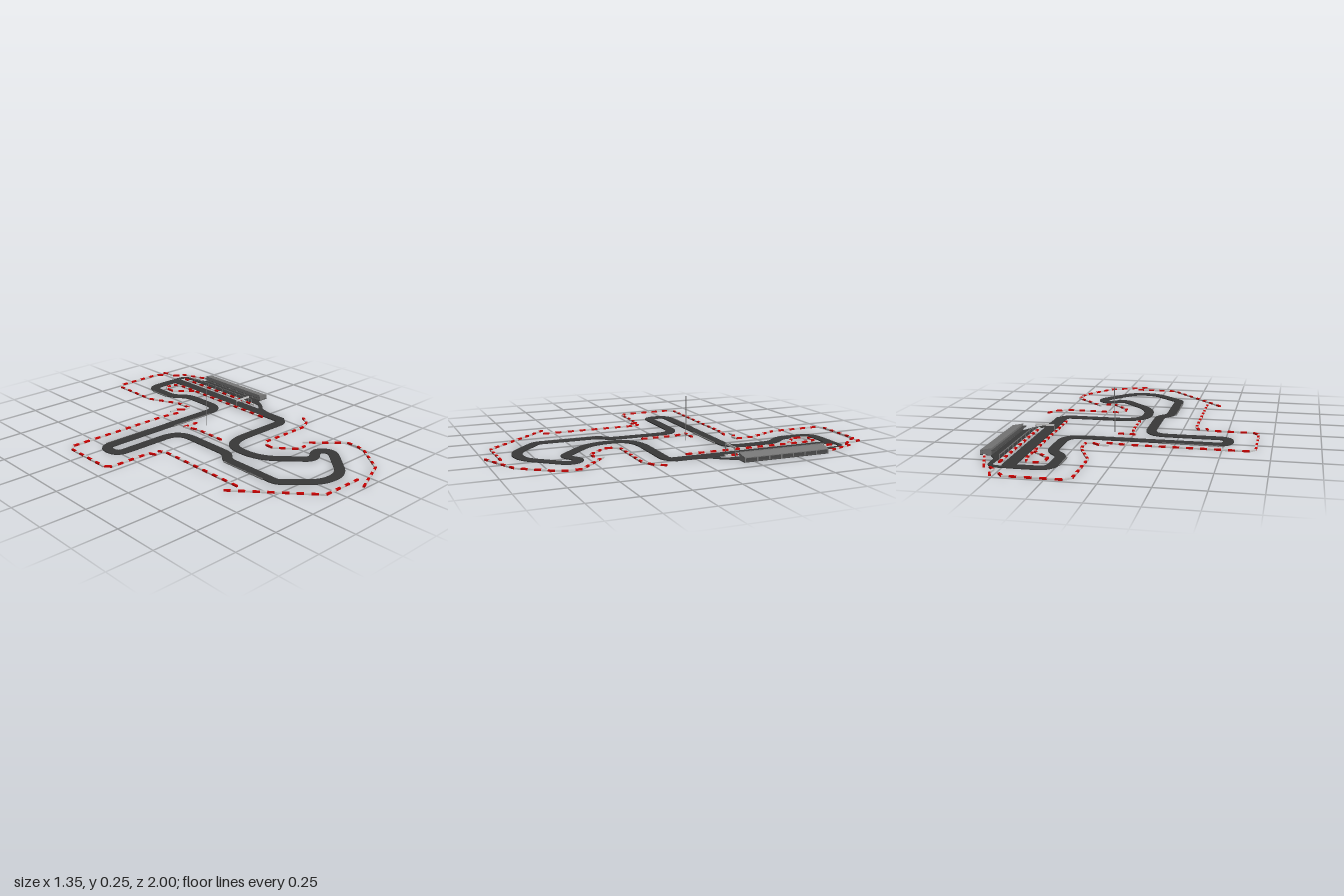
import * as THREE from 'three';
import { mergeGeometries } from 'three/addons/utils/BufferGeometryUtils.js';

const material = (color) => new THREE.MeshStandardMaterial({ color, flatShading: true, side: THREE.DoubleSide });
const ASPHALT = material(0x383838), STEEL = material(0x777777), DARK = material(0x484848);
const RED = material(0xcc0000), PALE = material(0xcccccc);

// Rounds the corners of a path; each point is [x, z, radius]
function roundPath(pts, closed) {
  const out = [], n = pts.length;
  pts.forEach(([x, z, r = 0], i) => {
    const p = new THREE.Vector2(x, z);
    if (!r || (!closed && (i === 0 || i === n - 1))) { out.push(p); return; }
    const ends = [pts[(i + n - 1) % n], pts[(i + 1) % n]].map(([a, b]) => {
      const d = new THREE.Vector2(a, b).sub(p);
      return p.clone().addScaledVector(d.clone().normalize(), Math.min(r, d.length() * 0.49));
    });
    out.push(...new THREE.QuadraticBezierCurve(ends[0], p, ends[1]).getPoints(8));
  });
  return out;
}

// A flat road slab that follows a path
function road(name, pts, width, height, closed) {
  const path = roundPath(pts, closed), n = path.length, pos = [], index = [];
  path.forEach((p, i) => {
    const prev = closed ? path[(i + n - 1) % n] : path[Math.max(i - 1, 0)];
    const next = closed ? path[(i + 1) % n] : path[Math.min(i + 1, n - 1)];
    const a = p.clone().sub(prev).normalize(), b = next.clone().sub(p).normalize();
    const t = a.clone().add(b).normalize();
    const miter = width / 2 / Math.max(0.75, Math.abs(t.dot(a.lengthSq() ? a : b)));
    const nx = -t.y * miter, nz = t.x * miter;
    pos.push(p.x + nx, height, p.y + nz, p.x - nx, height, p.y - nz, p.x - nx, 0, p.y - nz, p.x + nx, 0, p.y + nz);
  });
  for (let i = 0; i < (closed ? n : n - 1); i++) {
    const j = (i + 1) % n;
    for (let k = 0; k < 4; k++) {
      const l = (k + 1) % 4;
      index.push(i * 4 + k, i * 4 + l, j * 4 + k, i * 4 + l, j * 4 + l, j * 4 + k);
    }
  }
  const geo = new THREE.BufferGeometry();
  geo.setAttribute('position', new THREE.Float32BufferAttribute(pos, 3));
  geo.setIndex(index);
  const flat = geo.toNonIndexed();
  flat.computeVertexNormals();
  const mesh = new THREE.Mesh(flat, ASPHALT);
  mesh.name = name;
  return mesh;
}

function box(name, w, h, d, x, y, z, mat = STEEL) {
  const mesh = new THREE.Mesh(new THREE.BoxGeometry(w, h, d), mat);
  mesh.position.set(x, y, z);
  mesh.name = name;
  return mesh;
}

// A low wall cut into alternating red and pale blocks
function barrier(name, pts) {
  const blocks = [[], []];
  let count = 0;
  for (let i = 0; i < pts.length - 1; i++) {
    const [ax, az] = pts[i], [bx, bz] = pts[i + 1];
    const len = Math.hypot(bx - ax, bz - az), parts = Math.max(1, Math.round(len / 0.035));
    for (let k = 0; k < parts; k++) {
      const f = (k + 0.5) / parts;
      const g = new THREE.BoxGeometry(len / parts, 0.009, 0.012);
      g.rotateY(-Math.atan2(bz - az, bx - ax));
      g.translate(ax + (bx - ax) * f, 0.0085, az + (bz - az) * f);
      blocks[count++ % 2].push(g);
    }
  }
  const group = new THREE.Group();
  group.name = name;
  blocks.forEach((list, i) => {
    const mesh = new THREE.Mesh(mergeGeometries(list), i ? PALE : RED);
    mesh.name = i ? 'paleBlocks' : 'redBlocks';
    group.add(mesh);
  });
  return group;
}

// Row of open garages under a sloping roof
function pitBuilding() {
  const g = new THREE.Group();
  g.name = 'pitBuilding';
  const z0 = -0.68, z1 = -0.188, len = z1 - z0, mid = (z0 + z1) / 2, bays = 7;
  const slab = (name, pts, depth, z, mat) => {
    const shape = new THREE.Shape(pts.map(([x, y]) => new THREE.Vector2(x, y)));
    const mesh = new THREE.Mesh(new THREE.ExtrudeGeometry(shape, { depth, bevelEnabled: false }), mat);
    mesh.position.z = z;
    mesh.name = name;
    g.add(mesh);
  };
  slab('roof', [[0.615, 0.036], [0.676, 0.024], [0.676, 0.028], [0.615, 0.04]], len, z0, STEEL);
  slab('backWall', [[0.66, 0.004], [0.664, 0.004], [0.664, 0.028], [0.66, 0.028]], len, z0, DARK);
  slab('floor', [[0.615, 0.002], [0.676, 0.002], [0.676, 0.006], [0.615, 0.006]], len, z0, DARK);
  for (let i = 0; i <= bays; i++) {
    slab('garageDivider', [[0.618, 0.004], [0.676, 0.004], [0.676, 0.026], [0.618, 0.038]],
      0.007, z0 + (len - 0.007) * i / bays, STEEL);
  }
  g.add(box('frontLintel', 0.004, 0.008, len, 0.618, 0.033, mid));
  g.add(box('awning', 0.022, 0.002, len, 0.607, 0.027, mid, DARK));
  return g;
}

// Posts and a top rail between the pit lane and the straight
function pitFence() {
  const g = new THREE.Group();
  g.name = 'pitFence';
  const z0 = -0.73, z1 = -0.2, posts = 9;
  for (let i = 0; i < posts; i++) {
    g.add(box('fencePost', 0.003, 0.026, 0.003, 0.556, 0.013, z0 + (z1 - z0) * i / (posts - 1)));
  }
  g.add(box('fenceRail', 0.003, 0.004, z1 - z0, 0.556, 0.025, (z0 + z1) / 2));
  return g;
}

export function createModel() {
  const model = new THREE.Group();
  model.name = 'raceCircuit';

  // Main circuit
  model.add(road('track', [
    [0.48, -0.34], [0.48, -0.83, 0.04], [0.27, -0.83, 0.07], [0.27, -0.62, 0.05], [0.345, -0.55, 0.06],
    [0.345, -0.27, 0.09], [-0.52, -0.27, 0.06], [-0.52, -0.15, 0.06], [-0.08, -0.15, 0.11],
    [-0.08, 0.25, 0.04], [-0.135, 0.30, 0.04], [-0.135, 0.66, 0.03], [0.04, 0.82, 0.07],
    [0.18, 0.82, 0.07], [0.36, 0.61, 0.06], [0.30, 0.54, 0.07], [0.21, 0.61, 0.05],
    [0, 0.40, 0.11], [0, 0.143, 0.17], [0.48, 0.143, 0.06],
  ], 0.056, 0.005, true));
  model.add(road('startStraight', [[0.48, -0.82], [0.48, 0.115]], 0.065, 0.0054, false));

  // Pit lane and its wide apron
  model.add(road('pitLane', [[0.44, -0.845], [0.575, -0.845, 0.05], [0.575, -0.14, 0.04],
    [0.52, -0.09, 0.04], [0.495, 0.02]], 0.024, 0.0046, false));
  const apron = new THREE.Shape([[0.56, 0.74], [0.578, 0.74], [0.615, 0.69], [0.615, 0.2], [0.575, 0.13], [0.56, 0.13]]
    .map(([x, y]) => new THREE.Vector2(x, y)));
  const apronMesh = new THREE.Mesh(new THREE.ExtrudeGeometry(apron, { depth: 0.005, bevelEnabled: false }), ASPHALT);
  apronMesh.rotation.x = -Math.PI / 2;
  apronMesh.name = 'pitApron';
  model.add(apronMesh);

  // Kerbs beside the track: x, z, size in x, size in z
  [[-0.33, -0.3, 0.3, 0.008], [0.1, -0.24, 0.28, 0.008], [-0.163, 0.45, 0.008, 0.28], [0.24, -0.71, 0.008, 0.13]]
    .forEach(([x, z, w, d]) => model.add(box('kerb', w, 0.005, d, x, 0.0025, z)));

  // Barriers
  const walls = {
    northBarrier: [[0.475, -0.96], [0.45, -0.994], [0.16, -0.994], [0.125, -0.96], [0.125, -0.67], [0.207, -0.49],
      [0.207, -0.39], [0.17, -0.385], [0.13, -0.415], [0.08, -0.415]],
    westBarrier: [[0.1, -0.37], [0, -0.385], [-0.64, -0.385], [-0.67, -0.35], [-0.67, -0.06], [-0.64, -0.03],
      [-0.395, -0.03], [-0.38, 0.01]],
    midWestBarrier: [[-0.34, -0.02], [-0.32, 0.03], [-0.32, 0.57]],
    southWestBarrier: [[-0.4, 0.555], [-0.065, 0.924], [0.18, 0.924]],
    southEastBarrier: [[0.135, 0.994], [0.36, 0.897], [0.48, 0.73], [0.5, 0.67], [0.5, 0.6], [0.32, 0.43]],
    eastBarrier: [[0.295, 0.472], [0.24, 0.472], [0.147, 0.367], [0.147, 0.32], [0.18, 0.286], [0.49, 0.286],
      [0.56, 0.25], [0.59, 0.195]],
    infieldBarrier: [[0.427, 0.02], [0.427, -0.71], [0.405, -0.765], [0.345, -0.765], [0.325, -0.73],
      [0.325, -0.68], [0.427, -0.587]],
    innerCornerBarrier: [[0.08, -0.178], [-0.015, -0.178], [0.015, -0.1], [0.015, 0.1]],
    pitWall: [[0.534, -0.795], [0.534, -0.15]],
    pitExitBarrier: [[0.508, -0.994], [0.522, -0.96], [0.522, -0.91], [0.55, -0.878]],
    pitEndBarrier: [[0.58, -0.878], [0.65, -0.693]],
  };
  for (const [name, pts] of Object.entries(walls)) model.add(barrier(name, pts));

  model.add(pitBuilding(), pitFence());

  // Start gantry over the straight
  const gantry = new THREE.Group();
  gantry.name = 'startGantry';
  gantry.add(box('gantryBeam', 0.108, 0.011, 0.004, 0.484, 0.045, -0.207, PALE));
  for (const x of [0.432, 0.536]) gantry.add(box('gantryPost', 0.004, 0.05, 0.004, x, 0.025, -0.207));
  model.add(gantry);

  // Tall mast
  const mast = new THREE.Mesh(new THREE.CylinderGeometry(0.0025, 0.0025, 0.25, 8), STEEL);
  mast.position.set(0.111, 0.125, -0.125);
  mast.name = 'mast';
  model.add(mast);
  return model;
}
